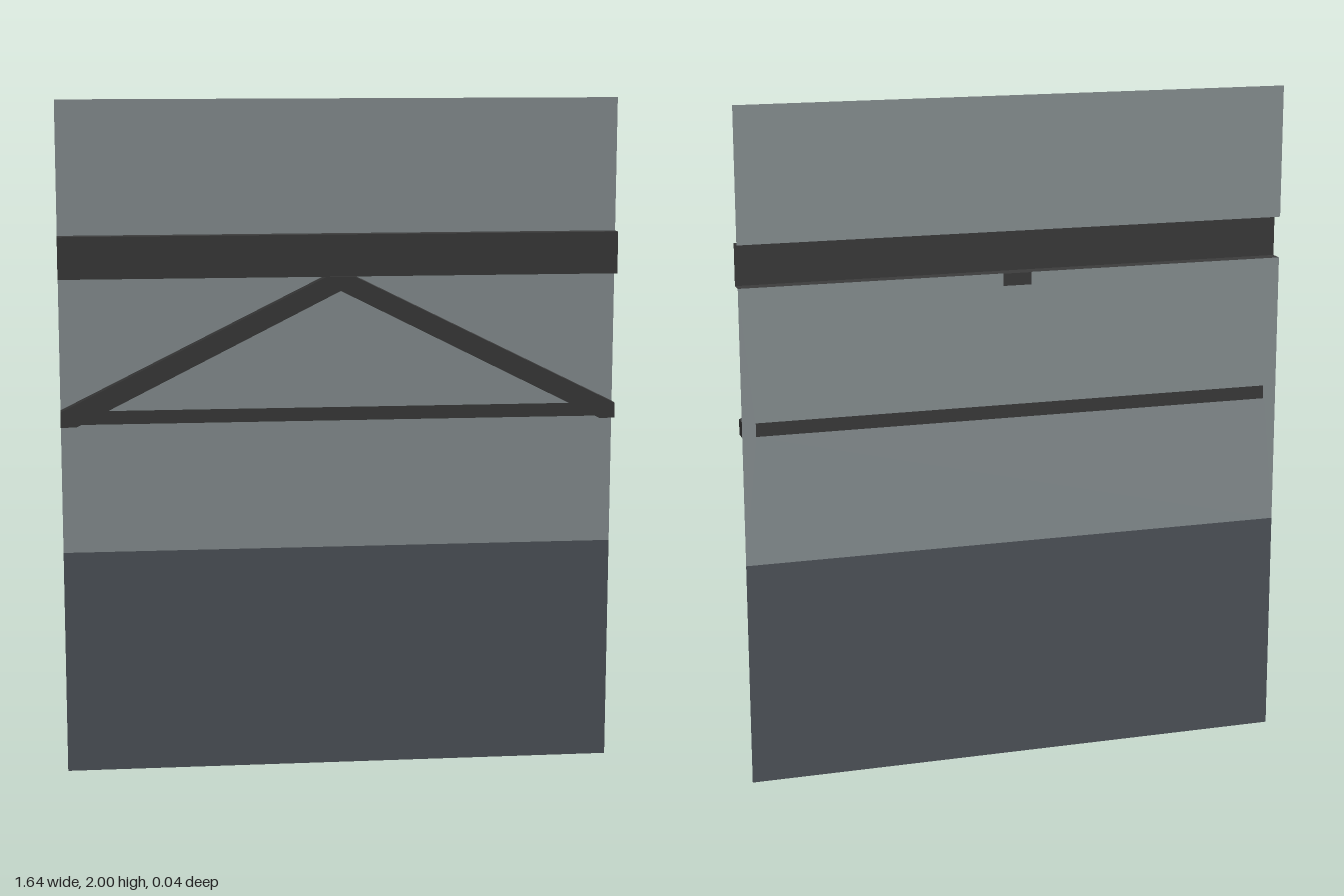
import * as THREE from 'three';

const W = 0.82;      // half width
const D = 0.021;     // half depth

const mat = (color) => new THREE.MeshStandardMaterial({ color, side: THREE.DoubleSide, flatShading: true });
const outline = (pts) => new THREE.Shape(pts.map(([x, y]) => new THREE.Vector2(x, y)));
const rect = (hw, y0, y1) => [[-hw, y0], [hw, y0], [hw, y1], [-hw, y1]];

export function createModel() {
  const group = new THREE.Group();
  const timber = mat(0x3c3c3c);
  const glass = mat(0x8c9597);
  const dado = mat(0x51565d);

  const add = (name, geometry, material, z = 0) => {
    const mesh = new THREE.Mesh(geometry, material);
    mesh.name = name;
    mesh.position.z = z;
    group.add(mesh);
    return mesh;
  };

  // Thin panels in the back plane, with a gap behind the beam
  add('lowerPanel', new THREE.ShapeGeometry(outline(rect(W, 0, 0.672))), dado, -D);
  add('topPanel', new THREE.ShapeGeometry(outline(rect(W, 1.61, 2))), glass, -D);

  // Middle panel: notched at the peak, slotted for the tie
  const middle = outline([
    [-W, 0.672], [W, 0.672], [W, 1.487],
    [0.043, 1.487], [0.043, 1.45], [-0.043, 1.45], [-0.043, 1.487], [-W, 1.487],
  ]);
  middle.holes.push(new THREE.Path(rect(0.78, 1.055, 1.095).map(([x, y]) => new THREE.Vector2(x, y))));
  add('middlePanel', new THREE.ShapeGeometry(middle), glass, -D);

  // Flat tie filling the slot
  add('tie', new THREE.ShapeGeometry(outline(rect(0.78, 1.055, 1.095))), timber, -D);

  // Sloping braces meeting under the beam
  const braces = outline([
    [-W, 1.055], [-0.775, 1.055], [0, 1.445], [0.775, 1.055], [W, 1.055],
    [W, 1.1], [0.043, 1.486], [-0.043, 1.486], [-W, 1.1],
  ]);
  add('braces', new THREE.ExtrudeGeometry(braces, { depth: 2 * D - 0.0008, bevelEnabled: false }), timber, -D + 0.0008);

  // Beam: a channel open at the back and the ends
  const beam = new THREE.Group();
  beam.name = 'beam';
  const face = new THREE.Mesh(new THREE.PlaneGeometry(2 * W, 0.123), timber);
  face.name = 'beamFace';
  face.position.set(0, 1.5485, D);
  beam.add(face);
  for (const [name, y, turn] of [['beamTop', 1.61, -1], ['beamBottom', 1.487, 1]]) {
    const flange = new THREE.Mesh(new THREE.PlaneGeometry(2 * W, 2 * D), timber);
    flange.name = name;
    flange.position.y = y;
    flange.rotation.x = turn * Math.PI / 2;
    beam.add(flange);
  }
  group.add(beam);

  return group;
}
